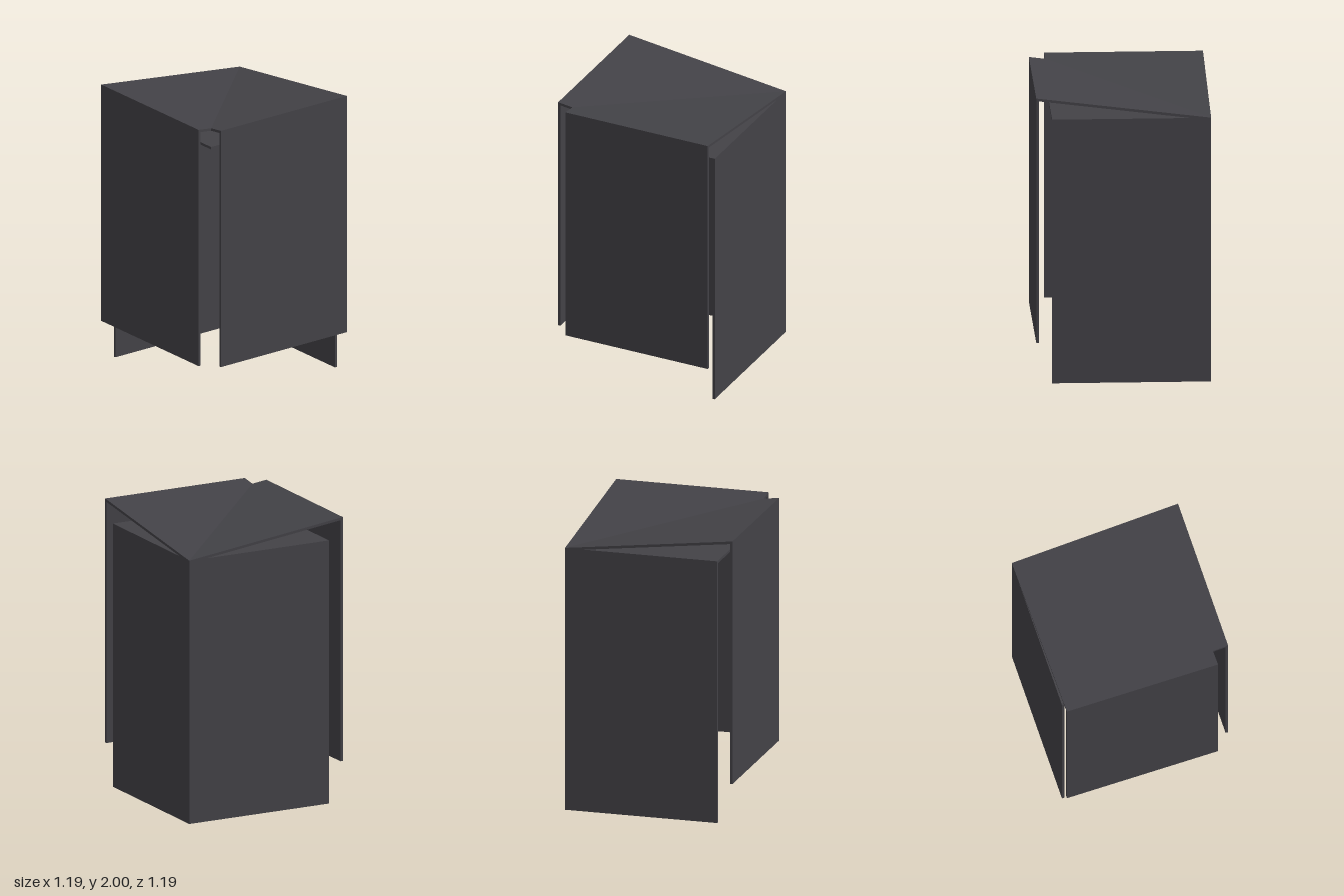
import * as THREE from 'three';

export function createModel() {
  const model = new THREE.Group();
  const charcoal = new THREE.MeshStandardMaterial({ color: 0x434247 });
  charcoal.name = 'charcoal';

  const E = 0.593;      // outer half width
  const C = 0.485;      // where the panels stop at the open corner
  const T = 0.018;      // sheet thickness
  const H = 1.85;       // top of the inner cabinet
  const L = 0.285;      // lower edge of the hanging panels

  // Box given by its lower and upper corners
  function sheet(name, lo, hi) {
    const size = hi.map((v, i) => v - lo[i]);
    const mesh = new THREE.Mesh(new THREE.BoxGeometry(...size), charcoal);
    mesh.position.set(...hi.map((v, i) => (v + lo[i]) / 2));
    mesh.name = name;
    model.add(mesh);
  }

  // Inner cabinet: two standing walls and a flat top
  sheet('backWall', [-E, 0, -E], [C, H, -E + T]);
  sheet('leftSideWall', [-E, 0, -E + T], [-E + T, H, C]);
  sheet('innerTop', [-E + T, H - T, -E + T], [C, H, C]);

  // Hanging panels below the raised roof edges
  sheet('frontPanel', [-E, L, E - T], [C, 2 - T, E]);
  sheet('sidePanel', [E - T, L, -E], [E, 2 - T, C]);

  // Roof: two sloping halves meeting in a valley along the diagonal
  const slope = (2 - H - 0.001) / (2 * E);
  function roofHalf(name, outline) {
    const shape = new THREE.Shape(outline.map(([x, z]) => new THREE.Vector2(x, z)));
    const geo = new THREE.ExtrudeGeometry(shape, { depth: T, bevelEnabled: false });
    geo.rotateX(Math.PI / 2);
    const p = geo.attributes.position;
    for (let i = 0; i < p.count; i++) {
      const reach = Math.max(p.getX(i), p.getZ(i));
      p.setY(i, p.getY(i) + 2 - slope * (E - reach));
    }
    geo.computeVertexNormals();
    const mesh = new THREE.Mesh(geo, charcoal);
    mesh.name = name;
    model.add(mesh);
  }
  const half = [[-E, -E], [-E, E], [C, E], [C, C]];
  roofHalf('roofFrontHalf', half);
  roofHalf('roofSideHalf', half.map(([x, z]) => [z, x]));

  return model;
}
